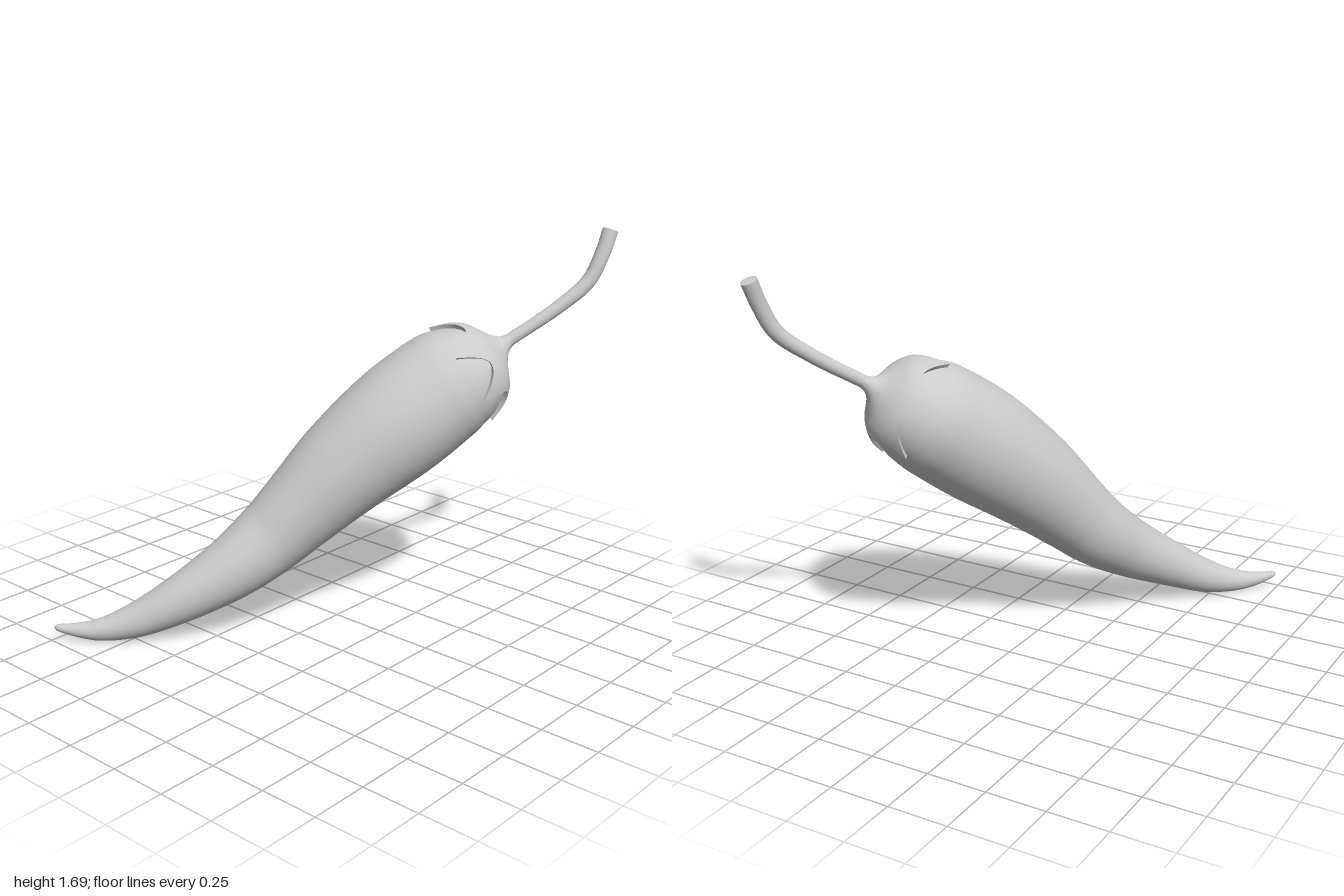
import * as THREE from 'three';
import { toCreasedNormals } from 'three/addons/utils/BufferGeometryUtils.js';

const V = (x, y, z) => new THREE.Vector3(x, y, z);
const material = new THREE.MeshStandardMaterial({ color: 0xcccccc, side: THREE.DoubleSide });

// The crown is where the stem meets the calyx; AXIS points out along the stem
const CROWN = V(0.455, 1.22, -0.575);
const AXIS = V(0.5, 0.545, -0.68).normalize();
const UP = V(0, 1, 0).addScaledVector(AXIS, -AXIS.y).normalize();
const SIDE = AXIS.clone().cross(UP);
const onAxis = (s) => CROWN.clone().addScaledVector(AXIS, s);

// Closed rings of points joined into a smooth skin
function skin(rings) {
  const n = rings[0].length, pos = [], index = [];
  rings.forEach((ring) => ring.forEach((p) => pos.push(p.x, p.y, p.z)));
  for (let i = 0; i < rings.length - 1; i++) {
    for (let k = 0; k < n; k++) {
      const a = i * n + k, b = i * n + (k + 1) % n;
      index.push(a, b, a + n, b, b + n, a + n);
    }
  }
  const geo = new THREE.BufferGeometry();
  geo.setAttribute('position', new THREE.Float32BufferAttribute(pos, 3));
  geo.setIndex(index);
  geo.computeVertexNormals();
  return geo;
}

// Round sweep along a spine of [point, radius] stations
function sweep(stations, segments, sides) {
  const spine = new THREE.CatmullRomCurve3(stations.map((s) => s[0]));
  const radius = new THREE.CatmullRomCurve3(stations.map((s) => V(s[1], 0, 0)), false, 'catmullrom', 0.5);
  const rings = [];
  for (let i = 0; i <= segments; i++) {
    const t = i / segments, c = spine.getPoint(t), r = Math.max(0, radius.getPoint(t).x);
    const tangent = spine.getTangent(t);
    const nrm = SIDE.clone().addScaledVector(tangent, -SIDE.dot(tangent)).normalize();
    const bin = tangent.clone().cross(nrm);
    rings.push(Array.from({ length: sides }, (_, k) => {
      const a = (k / sides) * Math.PI * 2;
      return c.clone().addScaledVector(nrm, r * Math.cos(a)).addScaledVector(bin, r * Math.sin(a));
    }));
  }
  return skin(rings);
}

// Star-shaped calyx: sharp tips, round valleys, a thin rim tucked into the body
function calyxGeometry() {
  const profile = new THREE.SplineCurve([
    [0.035, 0.026], [0, 0.034], [-0.03, 0.06], [-0.06, 0.108], [-0.09, 0.16],
    [-0.13, 0.197], [-0.17, 0.218], [-0.235, 0.242],
  ].map((p) => new THREE.Vector2(...p)));
  const tips = [-17, 52, 106, 161, 220, 281, 343];
  const perLeaf = 16, rows = 18, valley = 0.66;
  const spokes = [];
  for (let j = 0; j < tips.length - 1; j++) {
    for (let k = 0; k < perLeaf; k++) {
      const f = k / perLeaf, nearTip = Math.abs(2 * f - 1);
      spokes.push({
        angle: THREE.MathUtils.degToRad(tips[j] + (tips[j + 1] - tips[j]) * f),
        reach: valley + (1 - valley) * nearTip ** 2,
      });
    }
  }
  const ring = (t, sink) => spokes.map(({ angle, reach }) => {
    const p = profile.getPointAt(t * reach), r = p.y - sink;
    return onAxis(p.x).addScaledVector(UP, r * Math.cos(angle)).addScaledVector(SIDE, r * Math.sin(angle));
  });
  const rings = [ring(1, 0.035)];
  for (let i = rows; i >= 0; i--) rings.push(ring(i / rows, 0));
  return toCreasedNormals(skin(rings), 0.8);
}

export function createModel() {
  const group = new THREE.Group();
  const add = (name, geo) => {
    const mesh = new THREE.Mesh(geo, material);
    mesh.name = name;
    group.add(mesh);
    return mesh;
  };

  // Fruit: round shoulder, long taper, curled tip
  add('pepperBody', sweep([
    [onAxis(-0.06), 0], [onAxis(-0.075), 0.08], [onAxis(-0.1), 0.135], [onAxis(-0.135), 0.175],
    [onAxis(-0.18), 0.203], [onAxis(-0.24), 0.226],
    [V(0.293, 1.045, -0.355), 0.243], [V(0.18, 0.9, -0.185), 0.248], [V(0.045, 0.72, 0), 0.22],
    [V(-0.07, 0.54, 0.16), 0.183], [V(-0.14, 0.43, 0.26), 0.163], [V(-0.22, 0.315, 0.405), 0.14],
    [V(-0.35, 0.19, 0.59), 0.107], [V(-0.49, 0.092, 0.745), 0.076], [V(-0.6, 0.053, 0.86), 0.048],
    [V(-0.68, 0.055, 0.935), 0.028], [V(-0.728, 0.067, 0.983), 0.014], [V(-0.738, 0.07, 0.994), 0],
  ], 170, 48));

  add('calyx', calyxGeometry());

  // Stem with a bend and a flat cut end
  const stemEnd = V(0.708, 1.685, -0.962), stemBend = V(0.698, 1.585, -0.922);
  add('stem', sweep([
    [onAxis(-0.03), 0.028], [onAxis(0.03), 0.027], [V(0.59, 1.362, -0.757), 0.029],
    [V(0.668, 1.47, -0.868), 0.032], [stemBend, 0.033], [stemEnd, 0.034],
  ], 50, 24));
  const cut = add('stemCutEnd', new THREE.CircleGeometry(0.034, 24));
  cut.position.copy(stemEnd);
  cut.lookAt(stemEnd.clone().multiplyScalar(2).sub(stemBend));

  return group;
}
